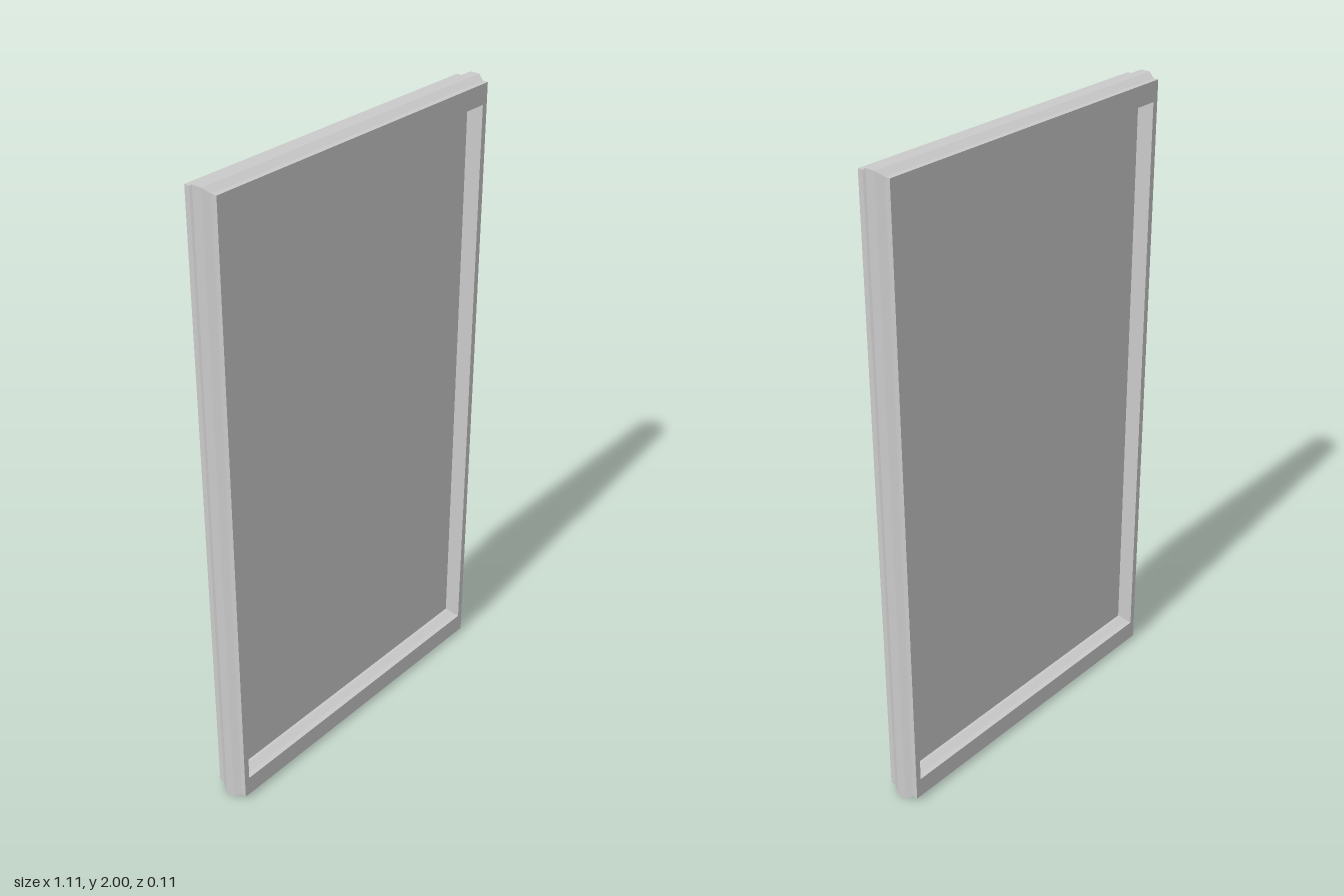
import * as THREE from 'three';

const material = new THREE.MeshStandardMaterial({ color: 0xcccccc, flatShading: true });

// Rectangular ring of four mitred corners: half width, bottom, top, depth
const ring = ([w, b, t, z]) => [[-w, b, z], [w, b, z], [w, t, z], [-w, t, z]];

// Sweeps a closed profile of rings around a rectangular frame
function frameGeometry(profile) {
  const pos = [];
  profile.forEach((p, i) => {
    const a = ring(p);
    const b = ring(profile[(i + 1) % profile.length]);
    for (let k = 0; k < 4; k++) {
      const n = (k + 1) % 4;
      pos.push(...a[k], ...a[n], ...b[n], ...a[k], ...b[n], ...b[k]);
    }
  });
  const geo = new THREE.BufferGeometry();
  geo.setAttribute('position', new THREE.Float32BufferAttribute(pos, 3));
  geo.computeVertexNormals();
  return geo;
}

export function createModel() {
  const group = new THREE.Group();

  const D = 0.055, step = 0.0385, flat = 0.0155;
  const outer = [0.5415, 0.015, 1.987], outerRib = [0.553, 0, 2];
  const inner = [0.523, 0.08, 1.925], innerRib = [0.516, 0.091, 1.914];

  // Moulded frame: a bevelled rib runs round the outside and the opening
  const frame = new THREE.Mesh(frameGeometry([
    [...outer, -D], [...outer, -step], [...outerRib, -flat],
    [...outerRib, flat], [...outer, step], [...outer, D],
    [...inner, D], [...inner, step], [...innerRib, flat],
    [...innerRib, -flat], [...inner, -step], [...inner, -D],
  ]), material);
  frame.name = 'frame';
  group.add(frame);

  // Thin pane held between the inner ribs
  const [w, b, t] = innerRib;
  const pane = new THREE.Mesh(new THREE.BoxGeometry(2 * w, t - b, 0.012), material);
  pane.position.y = (b + t) / 2;
  pane.name = 'pane';
  group.add(pane);

  return group;
}
